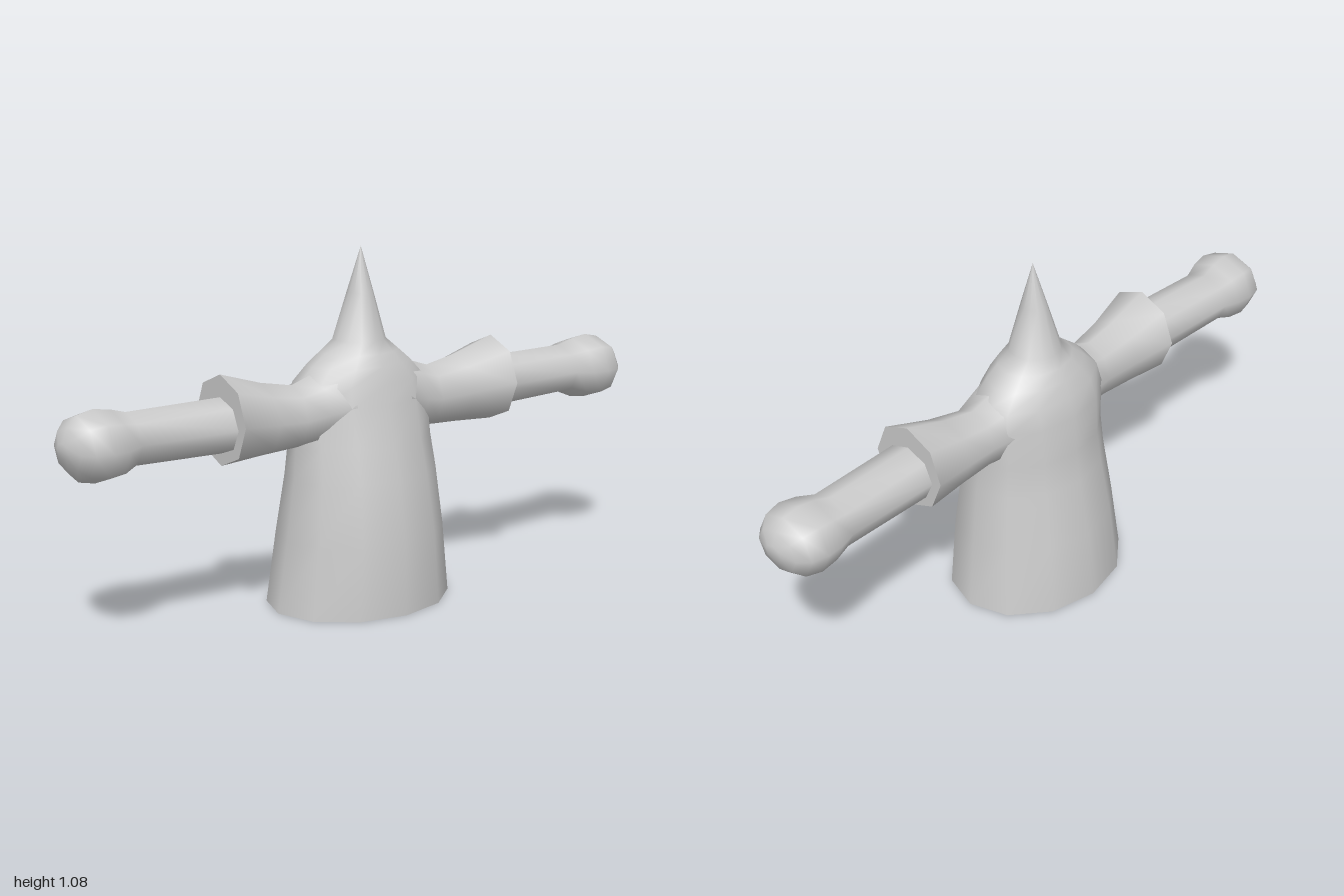
import * as THREE from 'three';

const material = new THREE.MeshStandardMaterial({ color: 0xcccccc, side: THREE.DoubleSide });

// Skins a row of closed rings; place(ring, angle) gives each point
function loft(name, rings, sides, place) {
  const pos = [], index = [];
  rings.forEach((ring, r) => {
    for (let i = 0; i < sides; i++) {
      pos.push(...place(ring, (i / sides) * Math.PI * 2));
      if (r === rings.length - 1) continue;
      const a = r * sides + i, b = r * sides + (i + 1) % sides;
      index.push(a, b, b + sides, a, b + sides, a + sides);
    }
  });
  const geo = new THREE.BufferGeometry();
  geo.setAttribute('position', new THREE.Float32BufferAttribute(pos, 3));
  geo.setIndex(index);
  geo.computeVertexNormals();
  const mesh = new THREE.Mesh(geo, material);
  mesh.name = name;
  return mesh;
}

// Upright ring: [y, half width, front z, back z]
const upright = ([y, w, front, back], a) =>
  [w * Math.sin(a), y, (front + back) / 2 + (front - back) / 2 * Math.cos(a)];

// Sideways ring: [x, bottom y, top y, back z, front z], mirrored by side
const sideways = (side) => ([x, y0, y1, z0, z1], a) =>
  [side * x, (y0 + y1) / 2 + (y1 - y0) / 2 * Math.cos(a),
    (z0 + z1) / 2 + side * (z1 - z0) / 2 * Math.sin(a)];

export function createModel() {
  const group = new THREE.Group();

  // Robe, open at the hem, narrowing over the shoulders into the pointed hood
  group.add(loft('robe', [
    [0, 0.295, 0.242, -0.24],
    [0.22, 0.267, 0.235, -0.215],
    [0.4, 0.244, 0.207, -0.178],
    [0.5, 0.233, 0.182, -0.163],
    [0.62, 0.235, 0.152, -0.153],
    [0.68, 0.222, 0.138, -0.133],
    [0.73, 0.17, 0.122, -0.113],
    [0.765, 0.125, 0.105, -0.092],
    [0.8, 0.08, 0.085, -0.072],
    [0.94, 0.04, 0.05, -0.028],
    [1.075, 0, 0.015, 0.015],
  ], 12, upright));

  for (const side of [1, -1]) {
    const label = side > 0 ? 'left' : 'right';
    const place = sideways(side);

    // Flared sleeve with a flat end
    const cuff = [0.5, 0.49, 0.755, -0.105, 0.152];
    group.add(loft(label + 'Sleeve', [
      [0.1, 0.51, 0.74, -0.11, 0.135],
      [0.18, 0.505, 0.713, -0.09, 0.118],
      [0.25, 0.502, 0.69, -0.07, 0.1],
      [0.36, 0.498, 0.712, -0.082, 0.118],
      cuff,
    ], 8, place));
    group.add(loft(label + 'SleeveEnd', [cuff, [0.5, 0.61, 0.61, 0.022, 0.022]], 8, place));

    // Forearm running into a rounded hand
    group.add(loft(label + 'Arm', [
      [0.45, 0.525, 0.69, -0.07, 0.117],
      [0.8, 0.532, 0.687, -0.077, 0.103],
      [0.85, 0.511, 0.702, -0.09, 0.128],
      [0.905, 0.504, 0.711, -0.097, 0.138],
      [0.955, 0.515, 0.7, -0.085, 0.128],
      [0.985, 0.545, 0.67, -0.055, 0.098],
      [1, 0.585, 0.63, -0.01, 0.052],
      [1, 0.608, 0.608, 0.021, 0.021],
    ], 8, place));
  }
  return group;
}
